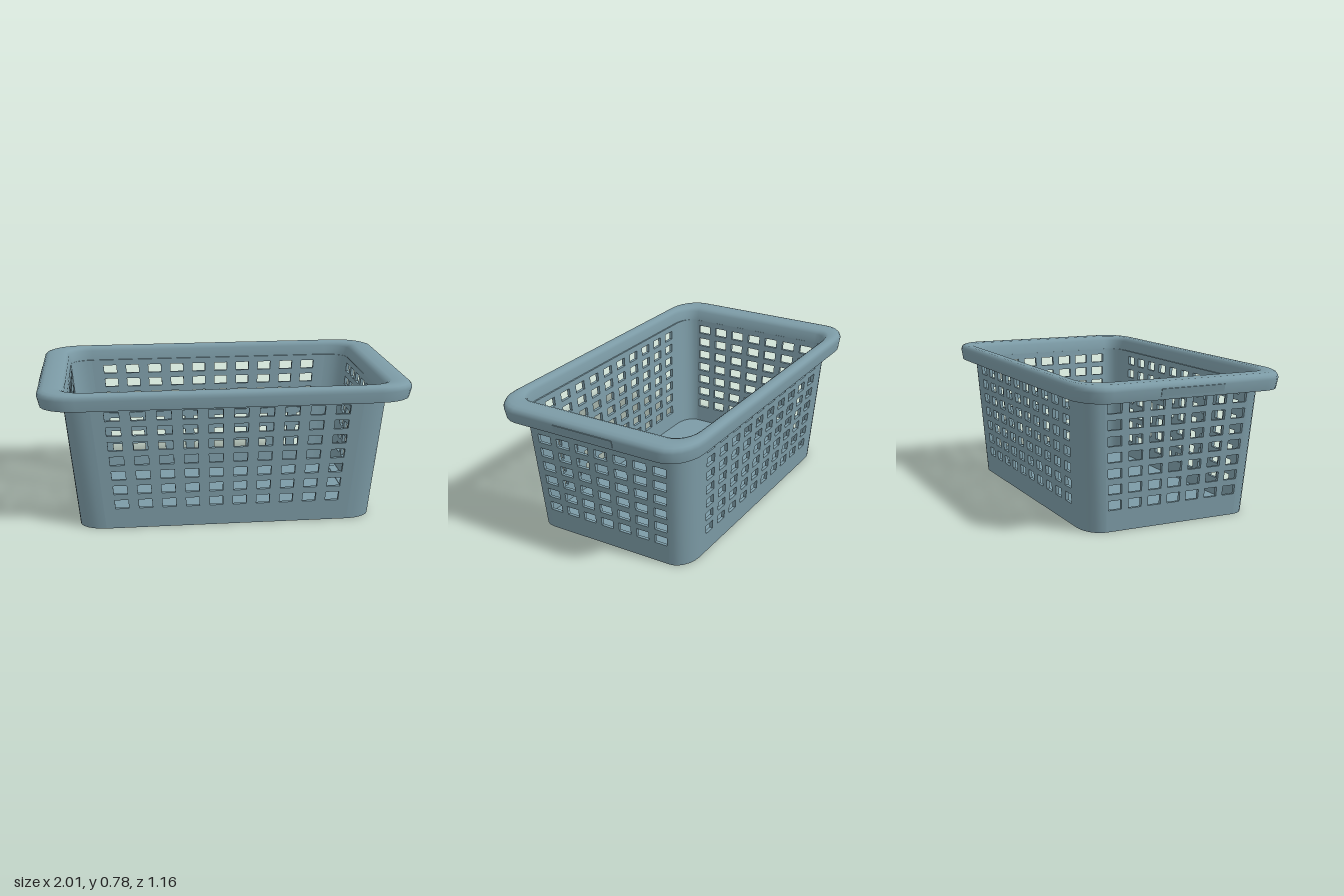
import * as THREE from 'three';
import { toCreasedNormals } from 'three/addons/utils/BufferGeometryUtils.js';

const H = 0.7;            // wall height, tucked just inside the rim
const T = 0.018;          // wall thickness
const HX = 0.8, HZ = 0.475;    // half size of the base
const DX = 0.066, DZ = 0.041;  // outward lean over the wall height
const RX = 0.14, RZ = 0.1;     // corner radii

// Elliptical quarter arc around the corner centre (cx, cz)
function arc(cx, cz, rx, rz, start, n = 6) {
  const pts = [];
  for (let i = 0; i <= n; i++) {
    const a = start + (i / n) * Math.PI / 2;
    pts.push(new THREE.Vector2(cx + rx * Math.cos(a), cz + rz * Math.sin(a)));
  }
  return pts;
}

// Closed rounded rectangle
function ring(hx, hz, rx, rz) {
  const signs = [[1, 1], [-1, 1], [-1, -1], [1, -1]];
  return signs.flatMap(([sx, sz], i) =>
    arc(sx * (hx - rx), sz * (hz - rz), rx, rz, i * Math.PI / 2));
}

// Apply a rule to every vertex
function moveVertices(geo, rule) {
  const p = geo.attributes.position, v = new THREE.Vector3();
  for (let i = 0; i < p.count; i++) {
    v.fromBufferAttribute(p, i);
    rule(v);
    p.setXYZ(i, v.x, v.y, v.z);
  }
  return geo;
}

// Flat leaning wall with a grid of openings, facing +z before it is turned
function panel(half, widen, dist, lean, cols, pitch, holeW, angle) {
  const shape = new THREE.Shape();
  shape.moveTo(-half, 0).lineTo(half, 0).lineTo(half, H).lineTo(-half, H).closePath();
  for (let r = 0; r < 7; r++) {
    for (let c = 0; c < cols; c++) {
      const x = (c - (cols - 1) / 2) * pitch, y = 0.14 + r * 0.0835;
      const w = holeW / 2, h = 0.025;
      const hole = new THREE.Path();
      hole.moveTo(x - w, y - h).lineTo(x - w, y + h).lineTo(x + w, y + h).lineTo(x + w, y - h).closePath();
      shape.holes.push(hole);
    }
  }
  const geo = new THREE.ExtrudeGeometry(shape, { depth: T, bevelEnabled: false });
  moveVertices(geo, v => {
    const t = v.y / H;
    v.x *= 1 + (widen * t) / half;
    v.z += dist - T + lean * t;
  });
  geo.computeVertexNormals();
  return geo.rotateY(angle);
}

// Rounded corner post joining two panels
function corner(sx, sz) {
  const cx = HX - RX, cz = HZ - RZ;
  const outer = arc(cx, cz, RX, RZ, 0);
  const inner = arc(cx, cz, RX - T, RZ - T, 0).reverse();
  const pts = [...outer, ...inner].map(p => new THREE.Vector2(p.x * sx, -p.y * sz));
  const geo = new THREE.ExtrudeGeometry(new THREE.Shape(pts), { depth: H, bevelEnabled: false });
  geo.rotateX(-Math.PI / 2);
  moveVertices(geo, v => {
    v.x += sx * DX * v.y / H;
    v.z += sz * DZ * v.y / H;
  });
  return toCreasedNormals(geo, 0.7);
}

// Hollow rolled rim: profile of [outward fraction, height] swept round the top
function rimGeometry() {
  const profile = [[0.9, 0.69], [1, 0.745], [0.98, 0.76], [0.9, 0.772], [0.74, 0.779],
    [0.5, 0.78], [0.2, 0.779], [0.04, 0.772], [-0.07, 0.755], [-0.14, 0.69]];
  const pos = [], idx = [];
  let n = 0;
  for (const [w, y] of profile) {
    const pts = ring(0.866 + 0.134 * w, 0.516 + 0.066 * w, 0.14 + 0.06 * w, 0.1 + 0.05 * w);
    n = pts.length;
    pts.forEach(p => pos.push(p.x, y, p.y));
  }
  for (let j = 0; j < profile.length - 1; j++) {
    for (let i = 0; i < n; i++) {
      const a = j * n + i, b = j * n + (i + 1) % n;
      idx.push(a, a + n, b, b, a + n, b + n);
    }
  }
  const geo = new THREE.BufferGeometry();
  geo.setAttribute('position', new THREE.Float32BufferAttribute(pos, 3));
  geo.setIndex(idx);
  return toCreasedNormals(geo, 0.75);
}

export function createModel() {
  const model = new THREE.Group();
  model.name = 'laundryBasket';
  const plastic = new THREE.MeshStandardMaterial({ color: 0x7c9ba6, side: THREE.DoubleSide });
  plastic.name = 'blueGreyPlastic';
  const add = (name, geo) => {
    const mesh = new THREE.Mesh(geo, plastic);
    mesh.name = name;
    model.add(mesh);
    return mesh;
  };

  // Perforated walls
  const long = a => panel(HX - RX, DX, HZ, DZ, 10, 0.125, 0.071, a);
  const short = a => panel(HZ - RZ, DZ, HX, DX, 7, 0.109, 0.072, a);
  add('frontWall', long(0));
  add('backWall', long(Math.PI));
  add('leftWall', short(Math.PI / 2));
  add('rightWall', short(-Math.PI / 2));

  // Corner posts
  for (const sx of [1, -1]) {
    for (const sz of [1, -1]) {
      add((sz > 0 ? 'front' : 'back') + (sx > 0 ? 'Left' : 'Right') + 'Corner', corner(sx, sz));
    }
  }

  // Floor
  const floor = new THREE.ExtrudeGeometry(
    new THREE.Shape(ring(HX - 0.008, HZ - 0.008, RX - 0.008, RZ - 0.008)),
    { depth: 0.015, bevelEnabled: false });
  floor.rotateX(-Math.PI / 2).translate(0, 0.003, 0);
  add('floor', toCreasedNormals(floor, 0.7));

  // Small pad set through the floor
  add('floorPad', new THREE.BoxGeometry(0.05, 0.022, 0.36)).position.set(0.755, 0.011, -0.15);

  // Rim and the grip plates on its ends
  add('rim', rimGeometry());
  for (const s of [1, -1]) {
    const grip = add(s > 0 ? 'leftGrip' : 'rightGrip', new THREE.BoxGeometry(0.008, 0.04, 0.355));
    grip.position.set(s * 0.9945, 0.727, 0);
    grip.rotation.z = -s * 0.24;
  }
  return model;
}
